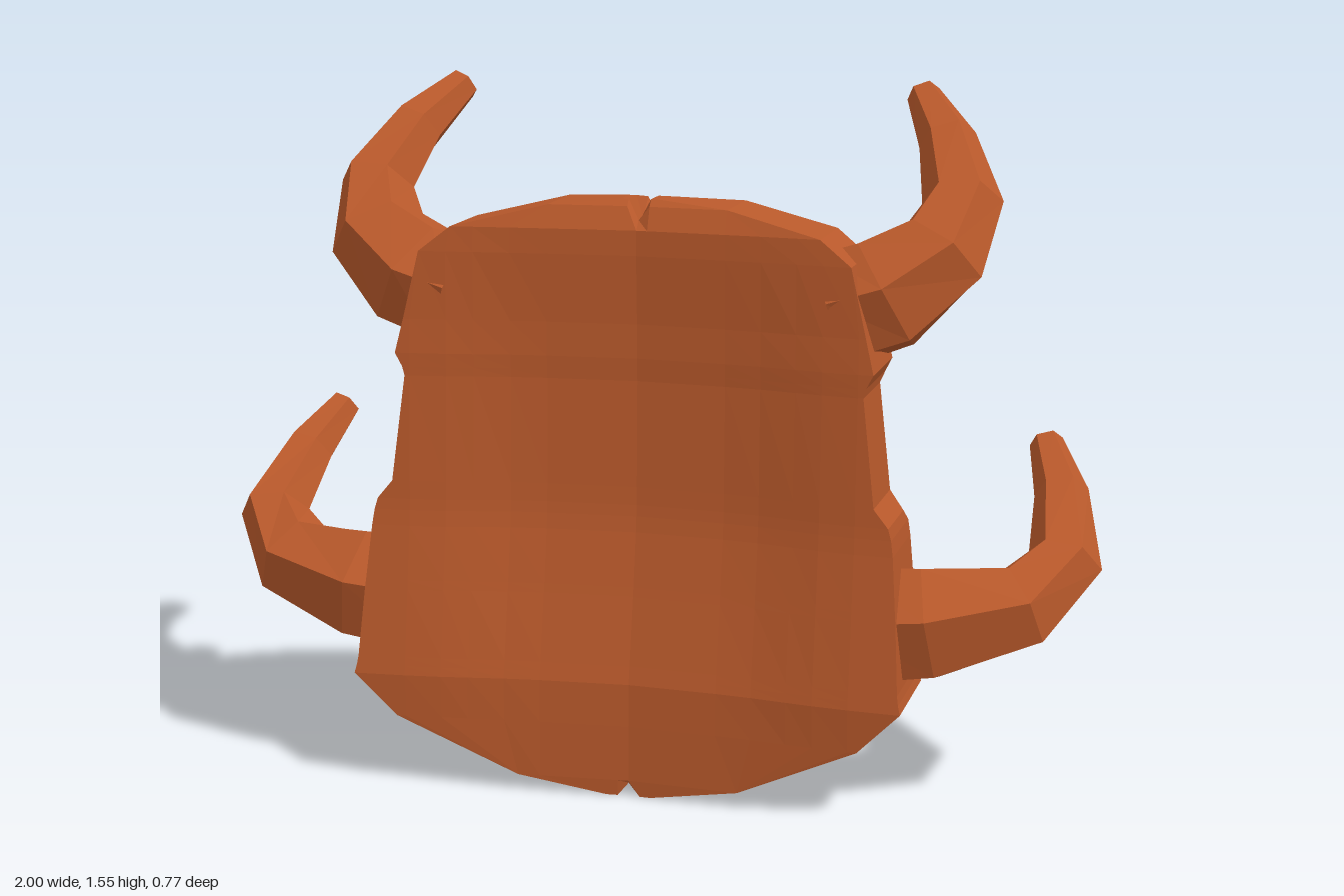
import * as THREE from 'three';

const mat = (name, color) => {
  const m = new THREE.MeshStandardMaterial({ color, flatShading: true, side: THREE.DoubleSide });
  m.name = name;
  return m;
};

// Rows of the head: y, half width, z of the face centre, z of the back edge
const ROWS = [
  [0.005, 0.05, -0.01, 0.37], [0.04, 0.25, -0.03, 0.375], [0.165, 0.52, -0.11, 0.385],
  [0.26, 0.615, -0.12, 0.39], [0.28, 0.61, -0.12, 0.387], [0.3, 0.607, -0.12, 0.384],
  [0.45, 0.597, -0.115, 0.362], [0.47, 0.595, -0.115, 0.359], [0.59, 0.585, -0.105, 0.341],
  [0.625, 0.58, -0.1, 0.337], [0.65, 0.573, -0.072, 0.335], [0.69, 0.54, -0.07, 0.333],
  [0.925, 0.512, -0.065, 0.32], [0.945, 0.517, -0.11, 0.32], [0.975, 0.533, -0.107, 0.32],
  [1.05, 0.515, -0.1, 0.315], [1.2, 0.48, -0.055, 0.31], [1.255, 0.41, -0.02, 0.305],
  [1.305, 0.2, 0.06, 0.28], [1.32, 0.04, 0.16, 0.265],
];
// Curve of the face: distance from the middle, setback in z
const CURVE = [[0, 0], [0.025, 0], [0.12, 0.005], [0.2, 0.015], [0.28, 0.04], [0.36, 0.085],
  [0.42, 0.125], [0.5, 0.18], [0.56, 0.215], [0.62, 0.25]];

function lookup(table, t, col) {
  for (let i = 1; i < table.length; i++) {
    const a = table[i - 1], b = table[i];
    if (t <= b[0] || i === table.length - 1)
      return THREE.MathUtils.lerp(a[col], b[col], (t - a[0]) / (b[0] - a[0]));
  }
}
const faceZ = (x, y) => lookup(ROWS, y, 2) + lookup(CURVE, Math.abs(x), 1);

// The back is a shallow bowl
const backDip = (x, y) => 0.045 * (1 - Math.abs(x) / 0.61)
  + 0.035 * THREE.MathUtils.smoothstep(0.5 - Math.abs(x), 0, 0.3) * Math.sin(Math.PI * y / 1.33);

function geometry(pos, idx) {
  const g = new THREE.BufferGeometry();
  g.setAttribute('position', new THREE.Float32BufferAttribute(pos, 3));
  g.setIndex(idx);
  g.computeVertexNormals();
  return g;
}

// Head: stacked loops with a middle groove, a recessed eye band and a hollow mouth
function headGeometry() {
  const half = CURVE.map(c => c[0]);
  const cols = [...half.slice(1).reverse().map(x => -x), ...half];
  const n = cols.length, N = 2 * n, pos = [], idx = [];
  ROWS.forEach(([y, w, , back]) => {
    const xs = cols.map(c => THREE.MathUtils.clamp(c, -w, w));
    const py = x => x === 0 ? THREE.MathUtils.clamp(y, 0.035, 1.275) : y;
    xs.forEach(x => {
      let z = faceZ(x, y);
      if (x === 0 && (y < 0.29 || y > 0.94)) z += 0.035;
      if (y > 0.29 && y < 0.46 && Math.abs(x) < 0.37) z += 0.06;
      pos.push(x, py(x), z);
    });
    [...xs].reverse().forEach(x => pos.push(x, py(x), back - backDip(x, y)));
  });
  for (let r = 0; r < ROWS.length - 1; r++) for (let i = 0; i < N; i++) {
    const a = r * N + i, b = r * N + (i + 1) % N, c = b + N, d = a + N;
    idx.push(a, d, c, a, c, b);
  }
  const top = (ROWS.length - 1) * N;
  for (let i = 0; i < n - 1; i++) {
    const f = i, g = i + 1, p = N - 1 - i, q = N - 2 - i;
    idx.push(f, q, p, f, g, q, top + f, top + p, top + q, top + f, top + q, top + g);
  }
  return geometry(pos, idx);
}

// Thin plate lying on the face; each column is x, low y, high y
function plateGeometry(columns) {
  const pos = [], idx = [], M = 4;
  columns.forEach(([x, lo, hi], i) => {
    for (let j = 0; j <= M; j++) {
      const y = THREE.MathUtils.lerp(lo, hi, j / M);
      pos.push(x, y, faceZ(x, y) - 0.009);
      if (i && j) {
        const d = i * (M + 1) + j, c = d - 1, b = d - M - 1, a = b - 1;
        idx.push(a, b, d, a, d, c);
      }
    }
  });
  return geometry(pos, idx);
}
const mirrored = cols => [...cols.slice(1).reverse().map(([x, a, b]) => [-x, a, b]), ...cols];

// Six-sided tapering horn through points x, y, z, radius
function hornGeometry(points, side) {
  const S = 6, pos = [], idx = [], ref = new THREE.Vector3(0, 1, 1).normalize();
  const c = points.map(p => new THREE.Vector3(p[0] * side, p[1], p[2]));
  c.forEach((p, i) => {
    const t = c[Math.min(i + 1, c.length - 1)].clone().sub(c[Math.max(i - 1, 0)]).normalize();
    const u = t.clone().cross(ref).normalize(), v = t.clone().cross(u);
    for (let j = 0; j < S; j++) {
      const a = j / S * Math.PI * 2, r = points[i][3];
      pos.push(...p.clone().addScaledVector(u, Math.cos(a) * r).addScaledVector(v, Math.sin(a) * r).toArray());
      if (i) {
        const k = (i - 1) * S, e = k + j, f = k + (j + 1) % S;
        idx.push(e, f, f + S, e, f + S, e + S);
      }
    }
  });
  const last = (c.length - 1) * S;
  const tip = c[c.length - 1].clone().lerp(c[c.length - 2], -0.06);
  pos.push(...tip.toArray());
  for (let j = 0; j < S; j++) idx.push(last + S, last + j, last + (j + 1) % S);
  return geometry(pos, idx);
}

export function createModel() {
  const root = new THREE.Group();
  root.name = 'hornedMask';
  const clay = mat('clay orange', 0xb9592b), ivory = mat('ivory ochre', 0xc9984e);
  const metal = mat('bolt grey', 0xd0d0d0);
  const add = (name, geo, material) => {
    const m = new THREE.Mesh(geo, material);
    m.name = name;
    root.add(m);
    return m;
  };

  add('head', headGeometry(), clay);

  // Nose plate between the eyes
  add('nosePlate', new THREE.BoxGeometry(0.16, 0.3, 0.06), clay).position.set(0, 0.79, -0.065);

  // Painted lips around the mouth
  add('upperLip', plateGeometry(mirrored([[0, 0.47, 0.53], [0.12, 0.46, 0.57], [0.2, 0.47, 0.55],
    [0.28, 0.45, 0.53], [0.36, 0.45, 0.53], [0.42, 0.44, 0.51], [0.46, 0.4, 0.5], [0.5, 0.38, 0.46]])), ivory);
  add('lowerLip', plateGeometry(mirrored([[0, 0.24, 0.3], [0.12, 0.23, 0.29], [0.2, 0.22, 0.3],
    [0.28, 0.23, 0.3], [0.36, 0.25, 0.31], [0.42, 0.27, 0.34], [0.46, 0.29, 0.4], [0.5, 0.32, 0.38]])), ivory);

  const upperHorn = [[0.43, 1.09, 0.17, 0.135], [0.53, 1.125, 0.165, 0.135], [0.64, 1.21, 0.12, 0.11],
    [0.67, 1.31, 0.03, 0.088], [0.615, 1.43, -0.09, 0.064], [0.54, 1.52, -0.205, 0.038]];
  const lowerHorn = [[0.48, 0.4, 0.21, 0.145], [0.65, 0.42, 0.22, 0.135], [0.84, 0.46, 0.18, 0.1],
    [0.92, 0.54, 0.09, 0.082], [0.89, 0.66, -0.06, 0.06], [0.84, 0.75, -0.17, 0.038]];
  const tusk = [[0.29, 0.4, -0.03, 0.1], [0.355, 0.41, -0.12, 0.088], [0.4, 0.43, -0.2, 0.068],
    [0.41, 0.51, -0.285, 0.048], [0.395, 0.59, -0.365, 0.025]];

  for (const [s, label] of [[1, 'left'], [-1, 'right']]) {
    add(label + 'UpperHorn', hornGeometry(upperHorn, s), clay);
    add(label + 'LowerHorn', hornGeometry(lowerHorn, s), clay);
    add(label + 'Tusk', hornGeometry(tusk, s), ivory);

    // Upright bar beside the nose
    add(label + 'NoseBar', new THREE.BoxGeometry(0.05, 0.3, 0.08), clay).position.set(s * 0.135, 0.79, -0.065);

    // Painted brow patch
    const brow = [[0.08, 1.03, 1.16], [0.12, 1.01, 1.18], [0.2, 1.0, 1.19], [0.28, 1.0, 1.19],
      [0.36, 1.01, 1.19], [0.42, 1.02, 1.17], [0.435, 1.04, 1.15]].map(([x, a, b]) => [s * x, a, b]);
    add(label + 'BrowPatch', plateGeometry(s > 0 ? brow : brow.reverse()), ivory);

    // Bolts beside the eyes
    for (const [x, y, r] of [[0.33, 0.89, 0.036], [0.41, 0.72, 0.046]]) {
      const bolt = add(label + 'Bolt', new THREE.CylinderGeometry(r * 0.8, r, 0.06, 6), metal);
      bolt.position.set(s * x, y, faceZ(x, y) - 0.01);
      bolt.quaternion.setFromUnitVectors(new THREE.Vector3(0, 1, 0), new THREE.Vector3(s * 0.5, 0, -0.866).normalize());
    }

    // Chunky interlocking teeth
    for (const [x, y, dir] of [[0.07, 0.405, -1], [0.215, 0.405, -1], [0.14, 0.345, 1], [0.285, 0.345, 1]]) {
      const tooth = add(label + 'Tooth', new THREE.ConeGeometry(0.08, 0.15, 4), ivory);
      tooth.position.set(s * x, y, faceZ(x, y) + 0.015);
      tooth.scale.z = 0.5;
      if (dir < 0) tooth.rotation.z = Math.PI;
    }
  }
  return root;
}
